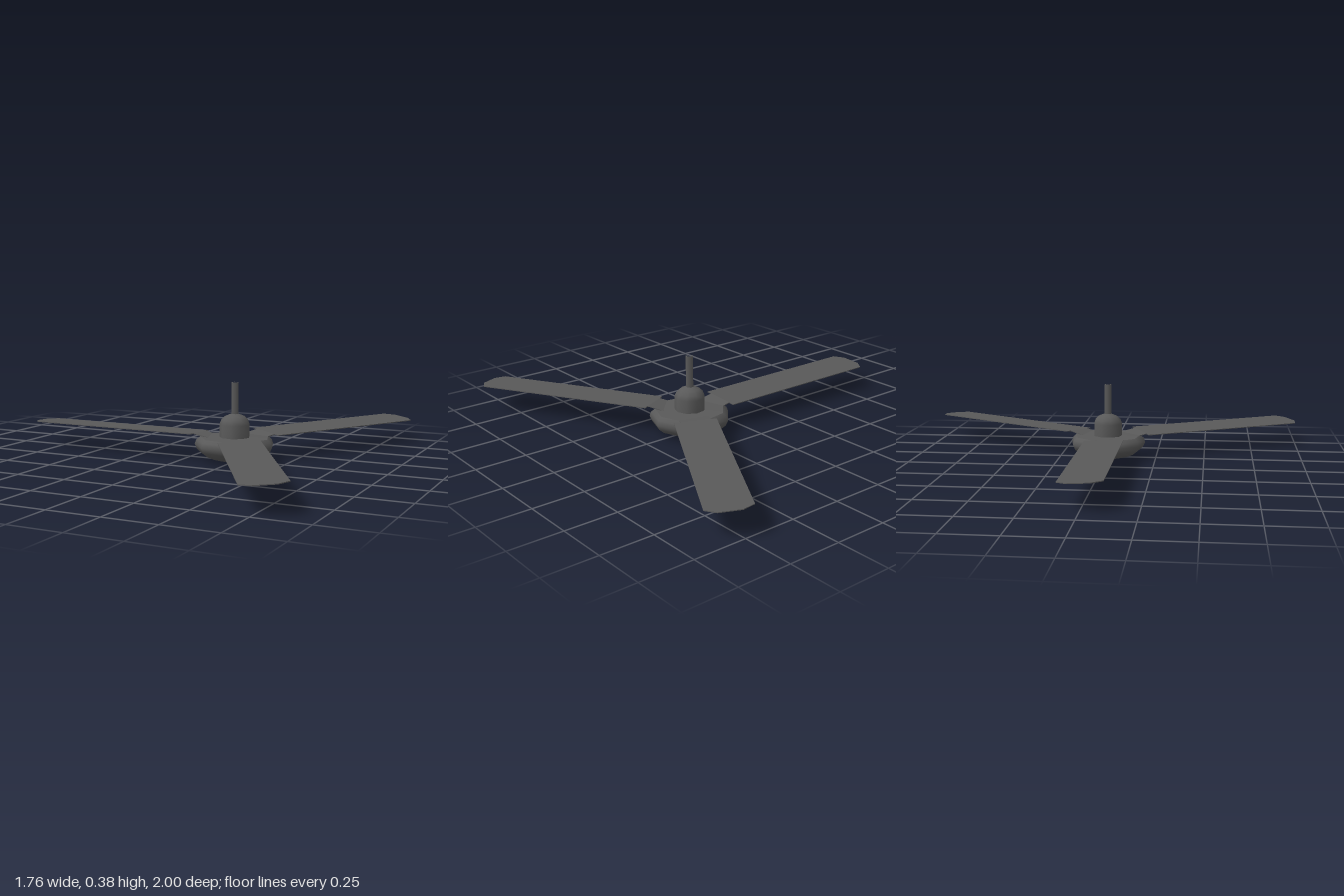
import * as THREE from 'three';

export function createModel() {
  const model = new THREE.Group();
  model.name = 'ceilingFan';
  const grey = new THREE.MeshStandardMaterial({ color: 0x595959 });
  grey.name = 'dark grey';
  const lightGrey = new THREE.MeshStandardMaterial({ color: 0x808080, side: THREE.DoubleSide });
  lightGrey.name = 'mid grey';

  const fan = new THREE.Group();
  fan.name = 'fan';
  fan.position.x = 0.24;
  model.add(fan);

  const add = (name, geometry, material, parent = fan) => {
    const mesh = new THREE.Mesh(geometry, material);
    mesh.name = name;
    parent.add(mesh);
    return mesh;
  };
  // Profile of [radius, height] pairs, listed from bottom to top
  const turned = (name, points, sides, material = grey) => add(name, new THREE.LatheGeometry(
    points.map(([r, y]) => new THREE.Vector2(r, y)), sides, Math.PI / 2), material);

  // Motor housing: rounded bowl, flat top and bottom plate
  turned('motorHousing', [[0.08, 0.003], [0.12, 0.014], [0.158, 0.03], [0.184, 0.052],
    [0.196, 0.078], [0.188, 0.1], [0.17, 0.115]], 9);
  turned('housingTop', [[0.17, 0.115], [0.05, 0.116]], 9);
  turned('bottomPlate', [[0, 0], [0.08, 0.003]], 9, lightGrey);

  // Domed cap and the hollow hanging rod
  turned('cap', [[0.074, 0.112], [0.074, 0.178], [0.066, 0.2], [0.048, 0.218], [0.018, 0.23]], 9);
  turned('rod', [[0.019, 0.22], [0.019, 0.383]], 6);
  turned('rodRim', [[0.019, 0.383], [0.013, 0.383]], 6);

  // Thin plate pitched across its width; it bends down towards the hub
  const plate = (outline) => {
    const shape = new THREE.Shape(outline.map(([x, y]) => new THREE.Vector2(x, y)));
    const geometry = new THREE.ExtrudeGeometry(shape, { depth: 0.004, bevelEnabled: false });
    geometry.rotateX(Math.PI / 2);
    const p = geometry.attributes.position;
    for (let i = 0; i < p.count; i++) {
      const drop = Math.max(0, 0.19 - p.getX(i)) * 0.18;
      p.setY(i, p.getY(i) + 0.126 - 0.055 * p.getZ(i) - drop);
    }
    geometry.computeVertexNormals();
    return geometry;
  };
  const blade = plate([[0.19, -0.1], [1.092, -0.1], [1.125, -0.05],
    [1.125, 0.05], [1.092, 0.1], [0.19, 0.1]]);
  const bracket = plate([[0.09, -0.07], [0.19, -0.07], [0.19, 0.07], [0.09, 0.07]]);

  // Three blades, evenly spaced
  for (let i = 0; i < 3; i++) {
    const arm = new THREE.Group();
    arm.name = 'bladeArm' + (i + 1);
    arm.rotation.y = Math.PI + i * Math.PI * 2 / 3;
    add('blade', blade, grey, arm);
    add('bladeBracket', bracket, grey, arm);
    fan.add(arm);
  }
  return model;
}
